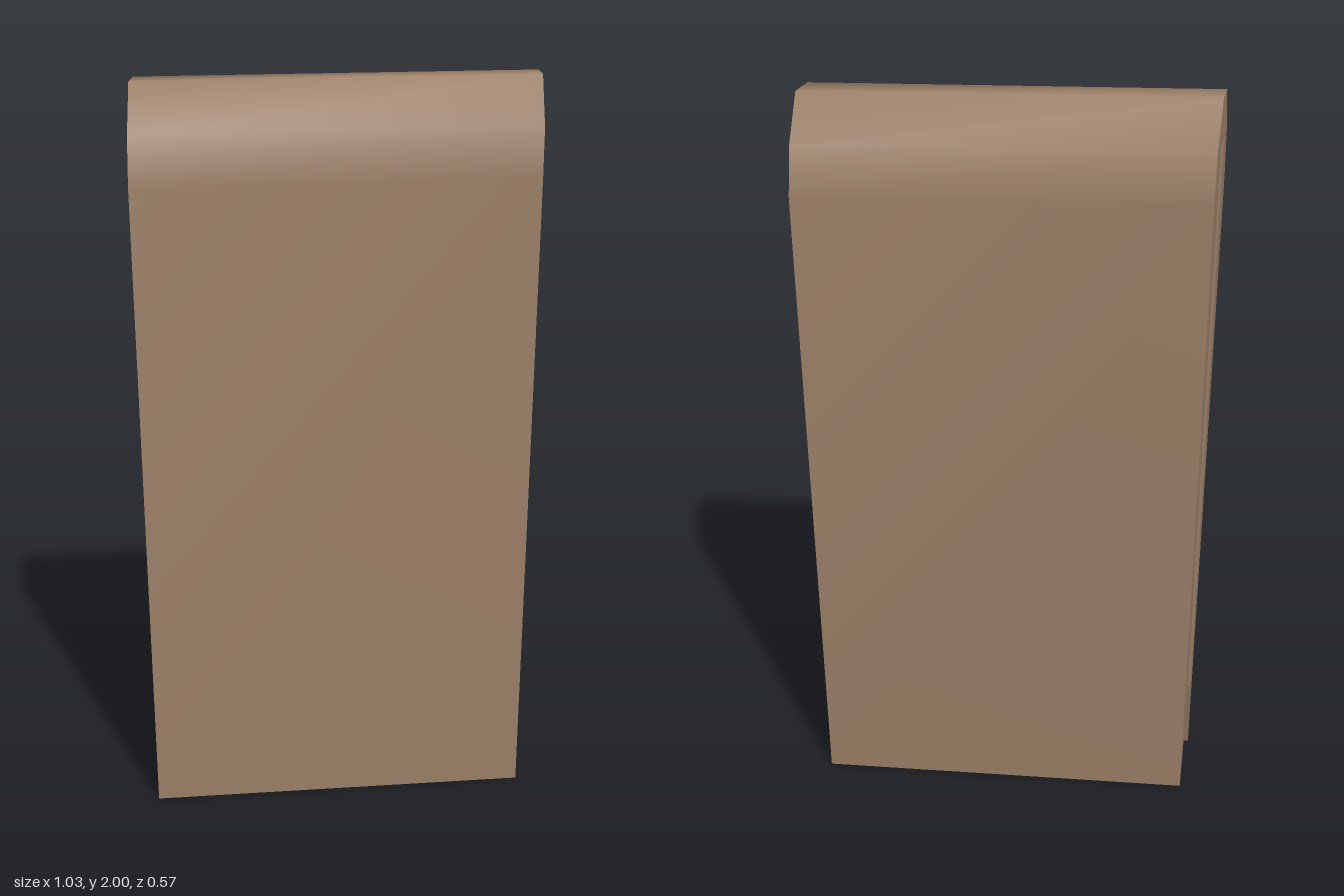
import * as THREE from 'three';
import { toCreasedNormals } from 'three/addons/utils/BufferGeometryUtils.js';

// Cross-section at the +x end as [z, y]: outer skin from front foot over the top to back foot,
// then the slot from back to front.
const section = [
  [-0.02, 0], [-0.007, 1.76], [-0.014, 1.88], [-0.1, 2],
  [-0.19, 2], [-0.26, 1.88], [-0.284, 1.76], [-0.237, 0],
  [-0.19, 0.235], [-0.19, 1.88], [-0.1, 1.88], [-0.1, 0.235],
];
const endPoint = ([z, y]) => [0.5185 + 0.145 * z, y, z];
const right = section.map(endPoint);
// The other end is the same section turned half a circle about y.
const left = section.map((_, i) => {
  const [x, y, z] = right[i < 8 ? 7 - i : 19 - i];
  return [-x, y, -z];
});

function meshFrom(name, triangles, material, crease) {
  const geometry = new THREE.BufferGeometry();
  geometry.setAttribute('position', new THREE.Float32BufferAttribute(triangles.flat(), 3));
  const mesh = new THREE.Mesh(toCreasedNormals(geometry, crease), material);
  mesh.name = name;
  return mesh;
}

// Ruled strip between the two ends, along section points first..last.
function strip(first, last) {
  const out = [];
  for (let i = first; i < last; i++) {
    const a = i % 12, b = (i + 1) % 12;
    out.push(left[a], right[a], right[b], left[a], right[b], left[b]);
  }
  return out;
}

// Fans filling one end: front leg, bridge, back leg.
function cap(points, flip) {
  const out = [];
  for (const loop of [[0, 11, 10, 2, 1], [3, 2, 10, 9, 5, 4], [9, 8, 7, 6, 5]]) {
    for (let k = 1; k < loop.length - 1; k++) {
      const [a, b, c] = [loop[0], loop[k], loop[k + 1]].map((i) => points[i]);
      out.push(a, ...(flip ? [c, b] : [b, c]));
    }
  }
  return out;
}

export function createModel() {
  const group = new THREE.Group();
  group.name = 'slottedClip';
  const material = new THREE.MeshStandardMaterial({ color: 0x9c8068 });
  group.add(
    meshFrom('outerSkin', strip(0, 7), material, 1.15),
    meshFrom('slotLining', strip(7, 12), material, 0.2),
    meshFrom('leftEnd', cap(right, false), material, 0.2),
    meshFrom('rightEnd', cap(left, true), material, 0.2),
  );
  return group;
}
